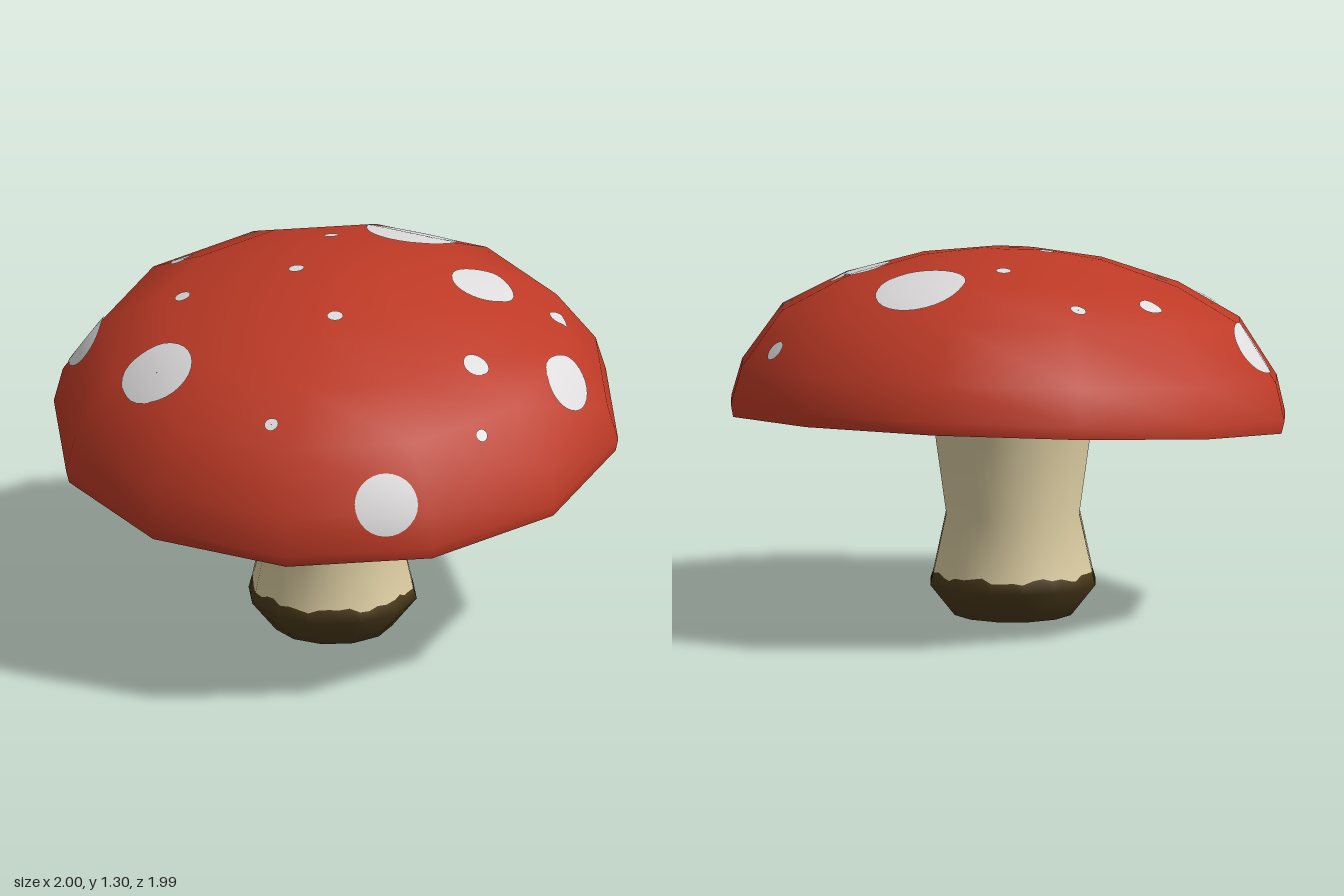
import * as THREE from 'three';

const mat = (name, color) => {
  const m = new THREE.MeshStandardMaterial({ color });
  m.name = name;
  return m;
};

const SIDES = 12;
const TILT = 0.115; // the cap leans towards the front
const RIM_Y = 0.69;

function lathe(points, segments) {
  return new THREE.LatheGeometry(points.map(([r, y]) => new THREE.Vector2(r, y)), segments);
}

// Cap pieces are turned around their own axis, then leaned and lifted
function capGeometry(points) {
  return lathe(points, SIDES).rotateX(TILT).translate(0, RIM_Y, 0);
}

// Round lathe squeezed to a twelve-sided section; ragged moves the painted border
function stemGeometry(points, borderY) {
  const g = lathe(points, SIDES * 4);
  const p = g.attributes.position;
  const step = (Math.PI * 2) / SIDES;
  for (let i = 0; i < p.count; i++) {
    const x = p.getX(i), y = p.getY(i), z = p.getZ(i);
    const a = Math.atan2(x, z) + Math.PI * 2;
    const k = Math.cos(step / 2) / Math.cos((a % step) - step / 2);
    const ragged = Math.abs(y - borderY) < 1e-4
      ? 0.008 * Math.sin(a * 7) + 0.006 * Math.sin(a * 17 + 1) : 0;
    p.setXYZ(i, x * k, y + ragged, z * k);
  }
  return g.translate(0, 0, 0.07);
}

// Disc laid over the cap by casting each of its points onto the surface
function spotGeometry(cap, x, z, radius) {
  const ray = new THREE.Raycaster();
  const cast = (origin, dir) => {
    ray.set(origin, dir);
    return ray.intersectObject(cap)[0];
  };
  const hit = cast(new THREE.Vector3(x, 3, z), new THREE.Vector3(0, -1, 0));
  const n = hit.normal.clone().normalize();
  const frame = new THREE.Quaternion().setFromUnitVectors(new THREE.Vector3(0, 0, 1), n);
  const g = new THREE.RingGeometry(0.0005, radius, 28, radius > 0.06 ? 8 : 3);
  const p = g.attributes.position, normals = g.attributes.normal;
  const v = new THREE.Vector3();
  const inward = n.clone().negate();
  for (let i = 0; i < p.count; i++) {
    v.fromBufferAttribute(p, i).applyQuaternion(frame).add(hit.point);
    const h = cast(v.clone().addScaledVector(n, 0.3), inward);
    if (h) {
      v.copy(h.point);
      normals.setXYZ(i, h.normal.x, h.normal.y, h.normal.z);
    } else normals.setXYZ(i, n.x, n.y, n.z);
    v.addScaledVector(n, 0.005);
    p.setXYZ(i, v.x, v.y, v.z);
  }
  return g;
}

export function createModel() {
  const red = mat('cap red', 0xbe3a26);
  const white = mat('spot white', 0xdedcdc);
  const cream = mat('stem cream', 0xdccda2);
  const gill = mat('underside beige', 0xc8bc9a);
  const soil = mat('base brown', 0x4e3d1c);

  const group = new THREE.Group();
  const add = (name, geometry, material, parent = group) => {
    const mesh = new THREE.Mesh(geometry, material);
    mesh.name = name;
    parent.add(mesh);
    return mesh;
  };

  // Cap dome, red lip under the rim and hollow underside
  const cap = add('cap', capGeometry([
    [0.99, 0], [1, 0.045], [0.965, 0.175], [0.825, 0.375],
    [0.6, 0.495], [0.32, 0.578], [0.1, 0.605], [0, 0.607],
  ]), red);
  add('capLip', capGeometry([[0.91, 0.04], [0.99, 0]]), red);
  add('capUnderside', capGeometry([
    [0, 0.19], [0.3, 0.17], [0.62, 0.12], [0.91, 0.04],
  ]), gill);

  // Spots: x, z, radius
  const spots = new THREE.Group();
  spots.name = 'spots';
  group.add(spots);
  cap.updateMatrixWorld(true);
  const layout = [
    [0.175, -0.51, 0.16], [0.495, -0.135, 0.115], [0.84, 0.14, 0.104],
    [0.335, 0.875, 0.11], [-0.545, 0.49, 0.135], [-0.88, 0.03, 0.105],
    [0.69, -0.535, 0.038], [0.755, -0.18, 0.038], [0.56, 0.36, 0.048],
    [0.62, 0.585, 0.022], [-0.09, 0.77, 0.025], [0.05, 0.3, 0.028],
    [-0.525, 0.1, 0.028], [-0.14, 0.005, 0.027], [-0.08, -0.345, 0.026],
    [-0.4, -0.53, 0.028], [-0.6, -0.305, 0.042],
  ];
  layout.forEach(([x, z, r], i) =>
    add(`spot${i + 1}`, spotGeometry(cap, x, z, r), white, spots));

  // Stem with a dark, ragged-edged foot
  const border = 0.152;
  add('stem', stemGeometry([
    [0.286, border], [0.24, 0.36], [0.28, 0.64], [0.305, 0.92],
  ], border), cream);
  add('stemBase', stemGeometry([
    [0, 0], [0.21, 0], [0.298, 0.11], [0.286, border],
  ], border), soil);

  return group;
}
